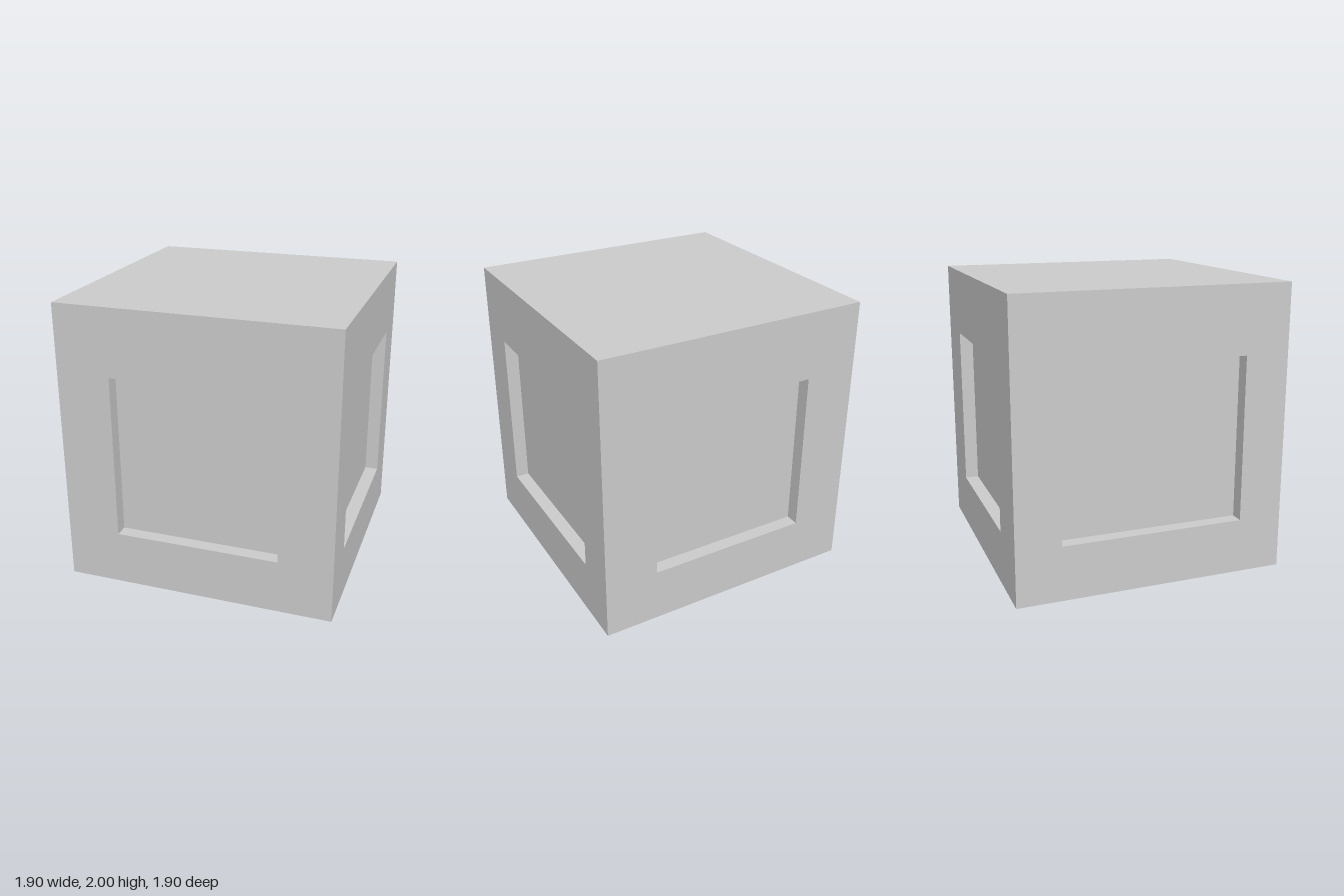
import * as THREE from 'three';
import { mergeGeometries } from 'three/addons/utils/BufferGeometryUtils.js';

const SIZE = 1.9, HEIGHT = 2, DEPTH = 0.095;
const RECESS_BOTTOM = 0.38, RECESS_TOP = 1.53;

// Plane facing +z, turned about x then y, then moved into place
function plane(w, h, rx, ry, x, y, z) {
  return new THREE.PlaneGeometry(w, h).rotateX(rx).rotateY(ry).translate(x, y, z);
}

// One upright side of the block, facing +z, with a sunken rectangular panel
function recessedSide(halfWidth) {
  const s = SIZE / 2, w = halfWidth;
  const h = RECESS_TOP - RECESS_BOTTOM, midY = (RECESS_TOP + RECESS_BOTTOM) / 2;
  const midZ = s - DEPTH / 2, q = Math.PI / 2;

  const outline = new THREE.Shape([[-s, 0], [s, 0], [s, HEIGHT], [-s, HEIGHT]]
    .map(([x, y]) => new THREE.Vector2(x, y)));
  outline.holes.push(new THREE.Path([[-w, RECESS_BOTTOM], [-w, RECESS_TOP], [w, RECESS_TOP], [w, RECESS_BOTTOM]]
    .map(([x, y]) => new THREE.Vector2(x, y))));

  return mergeGeometries([
    new THREE.ShapeGeometry(outline).translate(0, 0, s),       // surrounding frame
    plane(2 * w, h, 0, 0, 0, midY, s - DEPTH),                 // recess floor
    plane(2 * w, DEPTH, -q, 0, 0, RECESS_BOTTOM, midZ),        // sill
    plane(2 * w, DEPTH, q, 0, 0, RECESS_TOP, midZ),            // head
    plane(DEPTH, h, 0, q, -w, midY, midZ),                     // jambs
    plane(DEPTH, h, 0, -q, w, midY, midZ),
  ]);
}

export function createModel() {
  const model = new THREE.Group();
  model.name = 'recessedBlock';
  const material = new THREE.MeshStandardMaterial({ color: 0xcccccc });
  const add = (name, geometry) => {
    const mesh = new THREE.Mesh(geometry, material);
    mesh.name = name;
    model.add(mesh);
  };

  // Four sides; the recesses on the left and right are a little wider
  ['frontSide', 'leftSide', 'backSide', 'rightSide'].forEach((name, i) => {
    add(name, recessedSide(i % 2 ? 0.64 : 0.575).rotateY(i * Math.PI / 2));
  });

  // Flat top and bottom
  add('top', plane(SIZE, SIZE, -Math.PI / 2, 0, 0, HEIGHT, 0));
  add('bottom', plane(SIZE, SIZE, Math.PI / 2, 0, 0, 0, 0));

  return model;
}
